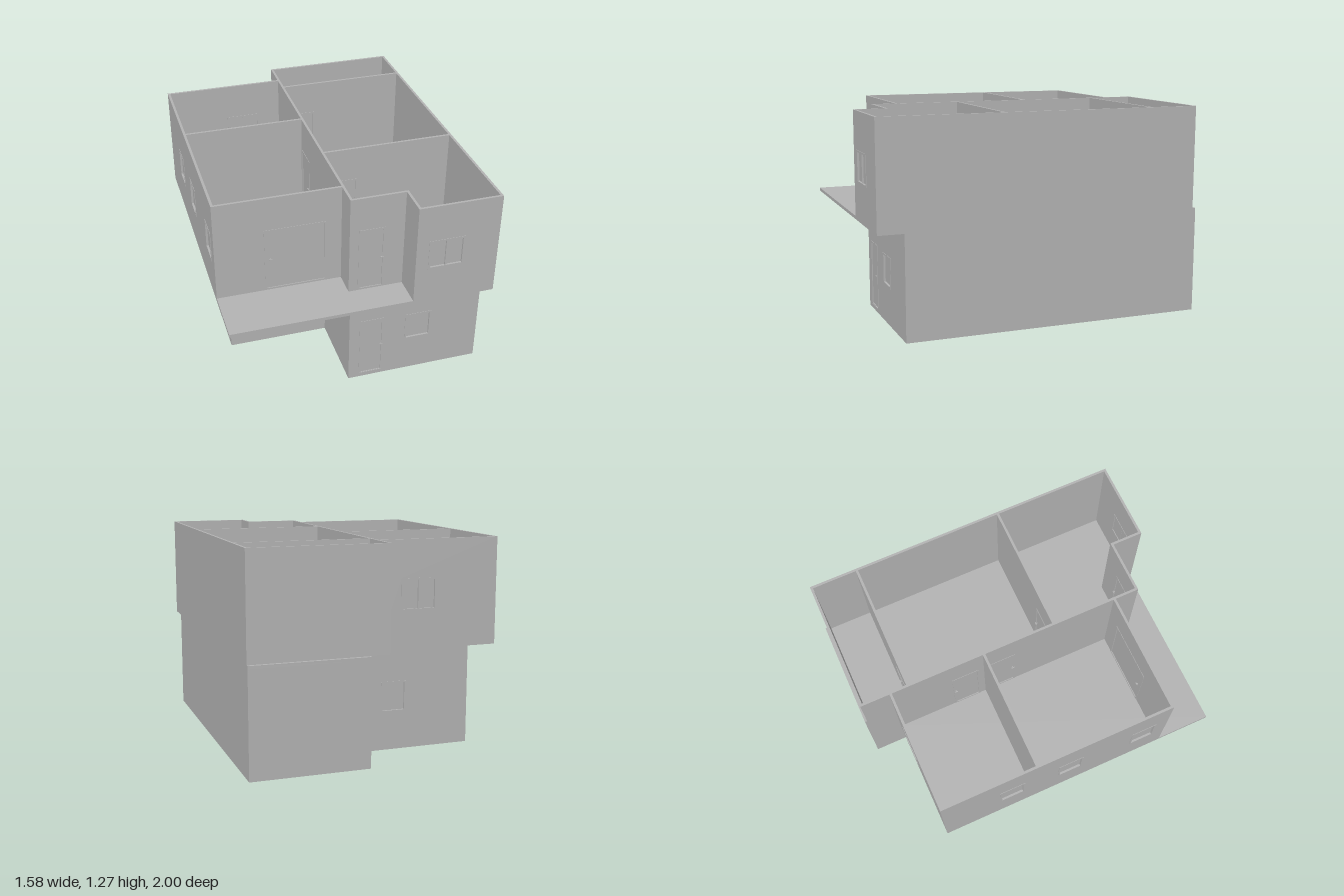
import * as THREE from 'three';

const T = 0.015; // wall thickness
const plaster = new THREE.MeshStandardMaterial({ color: 0xb2b2b2 });
plaster.name = 'grey plaster';

function add(parent, geometry, name) {
  const mesh = new THREE.Mesh(geometry, plaster);
  mesh.name = name;
  parent.add(mesh);
  return mesh;
}

function box(parent, name, w, h, d, x, y, z) {
  add(parent, new THREE.BoxGeometry(w, h, d), name).position.set(x, y, z);
}

function rectPoints(x0, y0, x1, y1) {
  return [[x0, y0], [x1, y0], [x1, y1], [x0, y1]].map(p => new THREE.Vector2(...p));
}

// Upright panel with rectangular holes, its front face at z = front
function panel(parent, name, rect, holes, depth, front) {
  const shape = new THREE.Shape(rectPoints(...rect));
  holes.forEach(h => shape.holes.push(new THREE.Path(rectPoints(...h))));
  const geometry = new THREE.ExtrudeGeometry(shape, { depth, bevelEnabled: false });
  geometry.translate(0, 0, front - depth);
  add(parent, geometry, name);
}

// Horizontal slab from a plan outline of [x, z] points
function slab(parent, name, outline, y, height) {
  const shape = new THREE.Shape(outline.map(([x, z]) => new THREE.Vector2(x, -z)));
  const geometry = new THREE.ExtrudeGeometry(shape, { depth: height, bevelEnabled: false });
  geometry.rotateX(-Math.PI / 2);
  geometry.translate(0, y, 0);
  add(parent, geometry, name);
}

// Wall whose outer face runs from a to b, left to right as seen from outside.
// Openings give their span along the wall's own axis in plan coordinates.
function wall(parent, name, a, b, y0, y1, openings = [], extend = 0) {
  const dx = b[0] - a[0], dz = b[1] - a[1];
  const start = Math.abs(dx) > Math.abs(dz) ? a[0] : a[1];
  const g = new THREE.Group();
  g.name = name;
  g.position.set(a[0], 0, a[1]);
  g.rotation.y = Math.atan2(-dz, dx);
  parent.add(g);

  const rects = openings.map(o => {
    const u = o.span.map(c => Math.abs(c - start)).sort((p, q) => p - q);
    return [u[0], o.y[0], u[1], o.y[1]];
  });
  panel(g, name + 'Panel', [0, y0, Math.hypot(dx, dz) + extend, y1], rects, T, 0);

  openings.forEach((o, i) => {
    const [u0, v0, u1, v1] = rects[i];
    const f = 0.011;
    const inner = [u0 + f, v0 + f, u1 - f, v1 - f];
    panel(g, o.kind + 'Frame', rects[i], [inner], T + 0.005, 0.0025);
    if (o.kind === 'window') {
      panel(g, 'windowPane', inner, [], 0.003, -0.01);
      if (o.double) box(g, 'windowMullion', 0.009, v1 - v0 - 2 * f, T, (u0 + u1) / 2, (v0 + v1) / 2, -T / 2);
    } else {
      panel(g, o.kind + 'Leaf', inner, [], T - 0.006, -0.003);
    }
    // lever handles on both faces
    if (o.handle !== undefined) {
      const u = Math.abs(o.handle - start), v = v0 + 0.213;
      [0.008, -T - 0.008].forEach(z => box(g, 'doorHandle', 0.02, 0.005, 0.006, u, v, z));
      box(g, 'handleSpindle', 0.005, 0.005, T + 0.016, u, v, -T / 2);
    }
  });
}

// Ring of outer walls; walls meeting an inward corner run on to close it
function storey(parent, name, outline, y0, y1, openings) {
  const n = outline.length;
  for (let i = 0; i < n; i++) {
    const a = outline[i], b = outline[(i + 1) % n], c = outline[(i + 2) % n];
    const turn = (b[0] - a[0]) * (c[1] - b[1]) - (b[1] - a[1]) * (c[0] - b[0]);
    wall(parent, name + 'Wall' + (i + 1), a, b, y0, y1, openings[i], turn > 0 ? T : 0);
  }
}

export function createModel() {
  const house = new THREE.Group();
  house.name = 'house';

  const win = (span, y, double = false) => ({ kind: 'window', span, y, double });
  const door = (span, y, handle) => ({ kind: 'door', span, y, handle });
  const lowY = [0.23, 0.418], highY = [0.855, 1.045];
  const upDoor = [0.647, 1.06];

  // Ground floor
  const lower = [[-0.665, 0.34], [-0.04, 0.34], [-0.04, 0.845], [0.79, 0.845],
    [0.79, -1], [0.08, -1], [0.08, -0.7], [-0.665, -0.7]];
  slab(house, 'groundSlab', lower, 0, 0.02);
  storey(house, 'lower', lower, 0.02, 0.625, {
    0: [win([-0.5, -0.255], lowY, true)],
    2: [door([0.025, 0.175], [0.022, 0.43], 0.162), win([0.313, 0.48], lowY)],
    6: [win([-0.26, -0.1], lowY)],
    7: [win([-0.155, -0.03], lowY)],
  });
  box(house, 'doorStep', 0.145, 0.01, 0.006, 0.1, 0.026, 0.847);

  // Floor between the storeys, running out to the balcony
  slab(house, 'upperFloorAndBalcony', [[-0.79, -0.8], [-0.04, -0.8], [-0.04, -0.98], [0.08, -0.98],
    [0.08, -1], [0.79, -1], [0.79, 1], [-0.79, 1]], 0.625, 0.02);

  // Open-topped upper storey
  const upper = [[-0.79, 0.66], [-0.04, 0.66], [-0.04, 0.81], [0.29, 0.81], [0.29, 1],
    [0.79, 1], [0.79, -0.98], [-0.04, -0.98], [-0.04, -0.8], [-0.79, -0.8]];
  const y0 = 0.645, y1 = 1.27;
  storey(house, 'upper', upper, y0, y1, {
    0: [{ kind: 'slidingDoor', span: [-0.5, -0.13], y: upDoor, handle: -0.465 }],
    2: [door([0.015, 0.172], upDoor, 0.157)],
    4: [win([0.365, 0.58], highY, true)],
    8: [win([-0.4, -0.18], highY, true)],
    9: [win([-0.44, -0.28], highY), win([-0.06, 0.1], highY), win([0.42, 0.58], highY)],
  });

  // Upper room dividers
  wall(house, 'corridorDivider', [-0.04, -0.8], [-0.04, 0.66], y0, y1,
    [door([-0.42, -0.245], upDoor, -0.405), door([-0.18, -0.005], upDoor, -0.02)]);
  wall(house, 'leftDivider', [-0.775, -0.195], [-0.04, -0.195], y0, y1);
  wall(house, 'frontDivider', [-0.025, 0.26], [0.775, 0.26], y0, y1, [door([0.01, 0.185], upDoor, 0.165)]);
  wall(house, 'backDivider', [-0.025, -0.675], [0.775, -0.675], y0, y1, [door([0.015, 0.185], upDoor, 0.16)]);

  return house;
}
